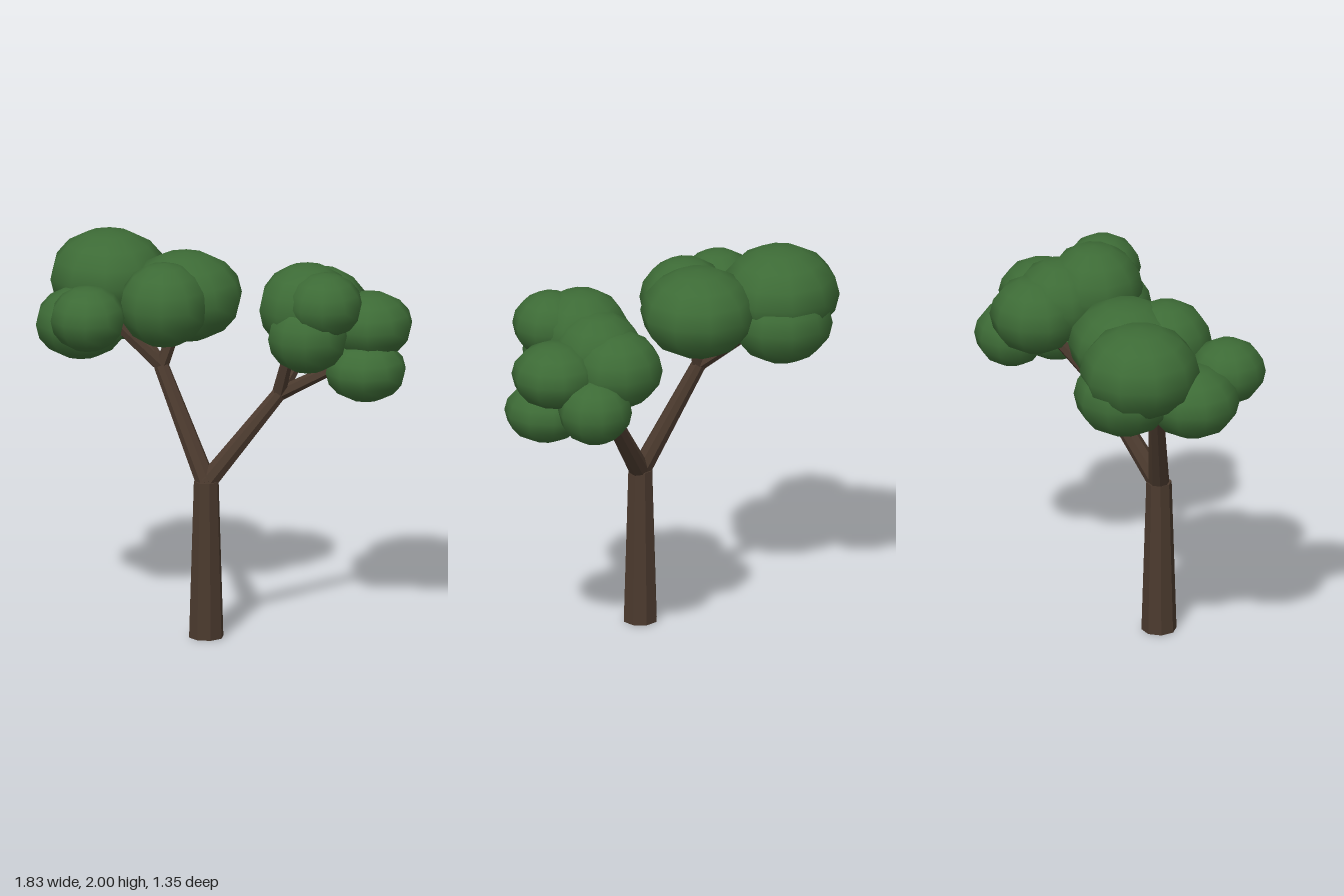
import * as THREE from 'three';

const bark = new THREE.MeshStandardMaterial({ color: 0x4b3a2e, flatShading: true });
const leaf = new THREE.MeshStandardMaterial({ color: 0x3d6b36 });

// Tapered limb running from one point to another
function limb(name, from, to, r0, r1, sides) {
  const a = new THREE.Vector3(...from);
  const b = new THREE.Vector3(...to);
  const dir = b.clone().sub(a);
  const mesh = new THREE.Mesh(new THREE.CylinderGeometry(r1, r0, dir.length(), sides), bark);
  mesh.name = name;
  mesh.position.copy(a).add(b).multiplyScalar(0.5);
  mesh.quaternion.setFromUnitVectors(new THREE.Vector3(0, 1, 0), dir.normalize());
  return mesh;
}

// Flattened ball of leaves: centre, horizontal radius, vertical radius
function clump([x, y, z, r, ry]) {
  const mesh = new THREE.Mesh(new THREE.SphereGeometry(1, 10, 8), leaf);
  mesh.name = 'leafClump';
  mesh.position.set(x, y, z);
  mesh.scale.set(r, ry, r);
  return mesh;
}

const fork = [-0.14, 0.81, 0.23];

const sides = [
  {
    name: 'left',
    tip: [0.24, 1.25, 0.23],
    twigs: [[0.29, 1.6, 0.35], [0.66, 1.46, 0.33], [0.48, 1.55, 0.1]],
    clumps: [
      [0.36, 1.73, 0.34, 0.25, 0.228],
      [0.415, 1.775, 0.485, 0.195, 0.168],
      [0.335, 1.605, 0.45, 0.208, 0.185],
      [0.69, 1.615, 0.34, 0.222, 0.17],
      [0.65, 1.395, 0.41, 0.21, 0.157],
      [0.71, 1.46, 0.11, 0.19, 0.17],
      [0.525, 1.63, 0.07, 0.235, 0.2],
      [0.47, 1.68, 0.2, 0.24, 0.215],
    ],
  },
  {
    name: 'right',
    tip: [-0.31, 1.37, -0.02],
    twigs: [[-0.62, 1.68, -0.08], [-0.22, 1.62, 0], [-0.42, 1.6, -0.33]],
    clumps: [
      [-0.49, 1.76, -0.39, 0.306, 0.24],
      [-0.715, 1.667, 0.05, 0.195, 0.168],
      [-0.685, 1.58, -0.2, 0.237, 0.185],
      [-0.425, 1.63, -0.43, 0.26, 0.212],
      [-0.17, 1.715, -0.08, 0.298, 0.23],
      [-0.317, 1.715, 0.06, 0.232, 0.217],
    ],
  },
];

export function createModel() {
  const tree = new THREE.Group();
  tree.name = 'tree';
  tree.add(limb('trunk', [-0.14, 0, 0.23], [-0.14, 0.82, 0.23], 0.09, 0.065, 8));

  // Each side: one main branch, three twigs and a crown of leaf clumps
  for (const side of sides) {
    tree.add(limb(side.name + 'Branch', fork, side.tip, 0.053, 0.039, 8));
    side.twigs.forEach((end, i) =>
      tree.add(limb(side.name + 'Twig' + (i + 1), side.tip, end, 0.036, 0.025, 6)));
    const crown = new THREE.Group();
    crown.name = side.name + 'Crown';
    side.clumps.forEach((c) => crown.add(clump(c)));
    tree.add(crown);
  }
  return tree;
}
